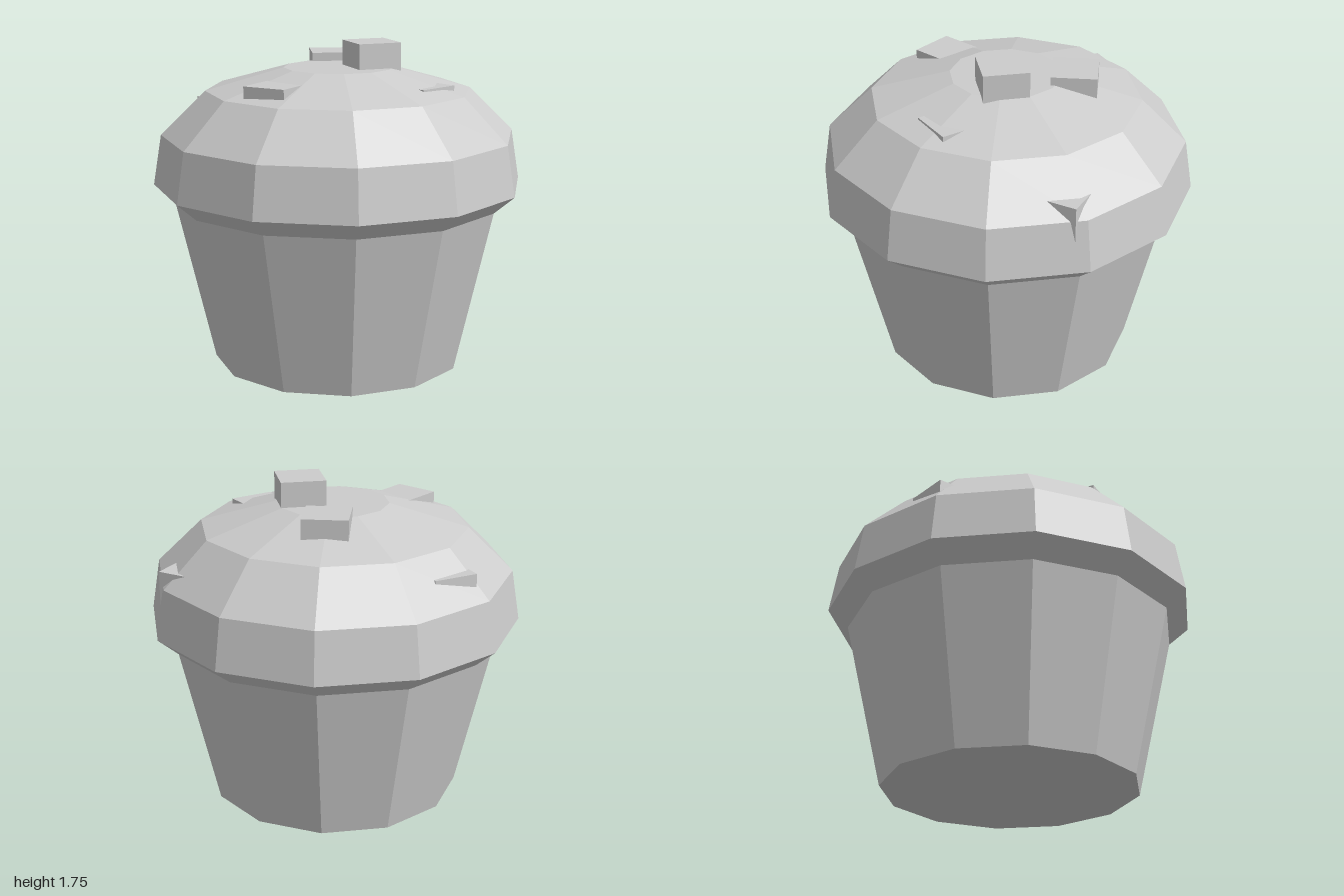
import * as THREE from 'three';

const SIDES = 12;

export function createModel() {
  const model = new THREE.Group();
  model.name = 'muffin';
  const gray = new THREE.MeshStandardMaterial({ color: 0xcccccc, flatShading: true });
  gray.name = 'light gray';

  // Faceted solid of revolution from [radius, height] pairs, bottom to top
  function lathe(name, profile) {
    const points = profile.map(([r, y]) => new THREE.Vector2(r, y));
    const mesh = new THREE.Mesh(new THREE.LatheGeometry(points, SIDES), gray);
    mesh.name = name;
    model.add(mesh);
  }

  // Tapered paper cup with closed base
  lathe('cup', [[0, 0], [0.685, 0], [0.89, 0.89]]);

  // Overhanging rim and domed top
  lathe('dome', [[0.89, 0.89], [1, 0.985], [0.955, 1.255], [0.715, 1.49], [0.295, 1.61], [0, 1.61]]);

  // Cubes sunk into the dome: x, top height, z, turn about y
  const size = 0.24;
  const cube = new THREE.BoxGeometry(size, size, size);
  const chunks = new THREE.Group();
  chunks.name = 'chunks';
  [
    [0.178, 1.745, 0, 0.28],
    [0, 1.655, -0.36, 0],
    [-0.353, 1.568, 0.355, -0.61],
    [0.416, 1.537, 0.232, 0.68],
    [-0.594, 1.39, -0.417, 0.56],
    [0.703, 1.335, -0.356, -0.4],
  ].forEach(([x, top, z, turn], i) => {
    const mesh = new THREE.Mesh(cube, gray);
    mesh.name = `chunk${i + 1}`;
    mesh.position.set(x, top - size / 2, z);
    mesh.rotation.y = turn;
    chunks.add(mesh);
  });
  model.add(chunks);

  return model;
}
